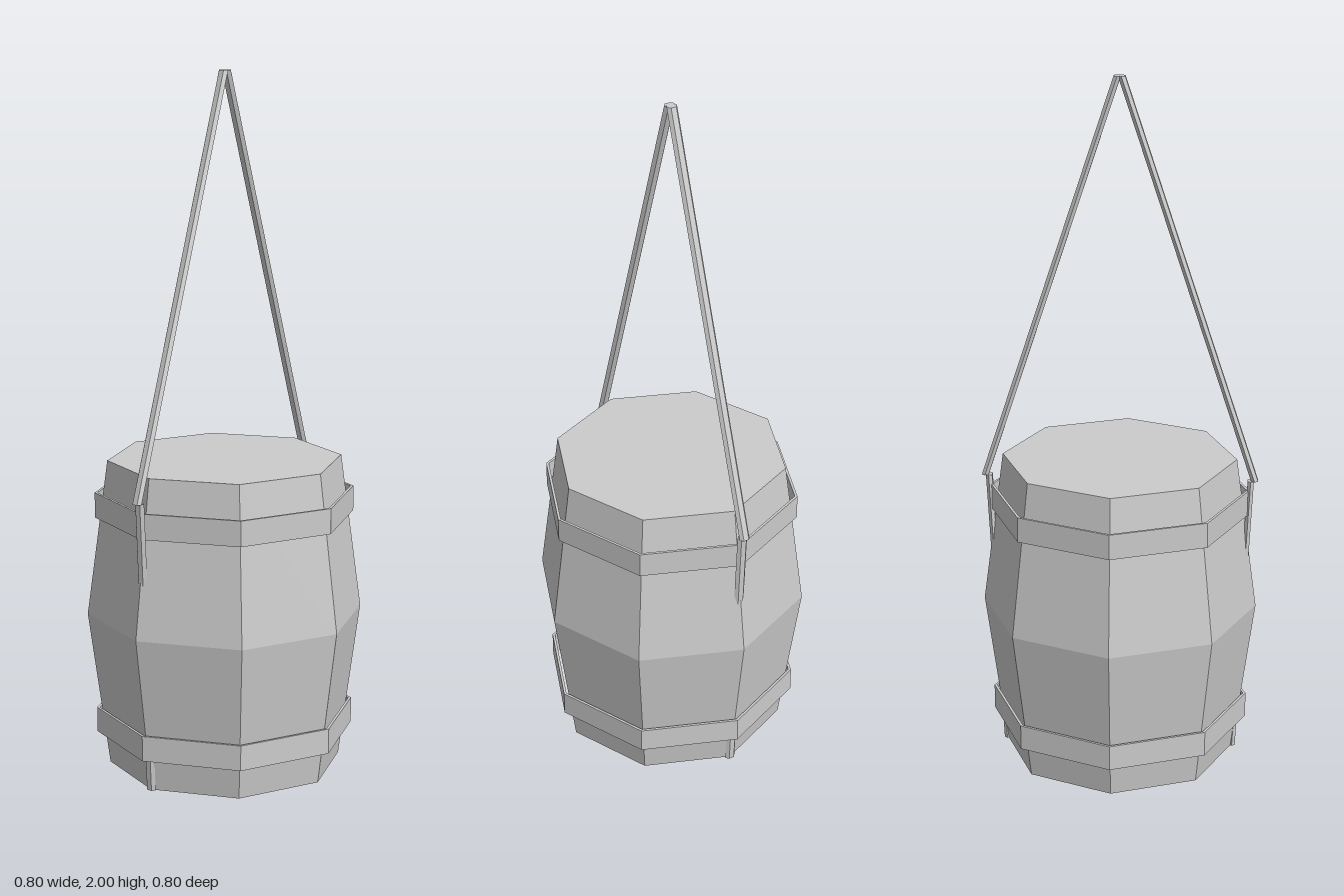
import * as THREE from 'three';

const material = new THREE.MeshStandardMaterial({ color: 0xcccccc, flatShading: true });

// Eight-sided solid of revolution from [radius, height] pairs, listed bottom to top on the outside
function lathe(name, profile) {
  const points = profile.map(([r, y]) => new THREE.Vector2(r, y));
  const mesh = new THREE.Mesh(new THREE.LatheGeometry(points, 8), material);
  mesh.name = name;
  return mesh;
}

// Six-sided rope whose ends are cut level: an upright prism sheared in x
function rope(name, xBottom, yBottom, xTop, yTop, halfX, halfZ) {
  const height = yTop - yBottom;
  const geometry = new THREE.CylinderGeometry(1, 1, height, 6);
  geometry.scale(halfX / Math.cos(Math.PI / 6), 1, halfZ);
  geometry.translate(0, height / 2, 0);
  const position = geometry.attributes.position;
  for (let i = 0; i < position.count; i++) {
    const t = position.getY(i) / height;
    position.setX(i, position.getX(i) + xBottom + (xTop - xBottom) * t);
  }
  geometry.translate(0, yBottom, 0);
  geometry.computeVertexNormals();
  const mesh = new THREE.Mesh(geometry, material);
  mesh.name = name;
  return mesh;
}

export function createModel() {
  const model = new THREE.Group();
  model.name = 'hangingBarrel';

  // Bulging body with flat lid and base
  model.add(lathe('barrelBody', [[0, 0], [0.337, 0], [0.398, 0.452], [0.337, 0.903], [0, 0.903]]));

  // Thin hoops standing slightly clear of the body
  for (const [name, low, high] of [['lowerHoop', 0.095, 0.168], ['upperHoop', 0.737, 0.81]]) {
    model.add(lathe(name, [[0.366, low], [0.374, low], [0.374, high], [0.366, high], [0.366, low]]));
  }

  // Hanging ropes and the lengths running down behind the hoops, on both sides
  for (const [side, s] of [['left', 1], ['right', -1]]) {
    model.add(rope(side + 'HangingRope', s * 0.388, 0.84, s * 0.006, 2, 0.01, 0.016));
    model.add(rope(side + 'SideRope', s * 0.336, 0, s * 0.377, 0.84, 0.009, 0.016));
  }
  return model;
}
